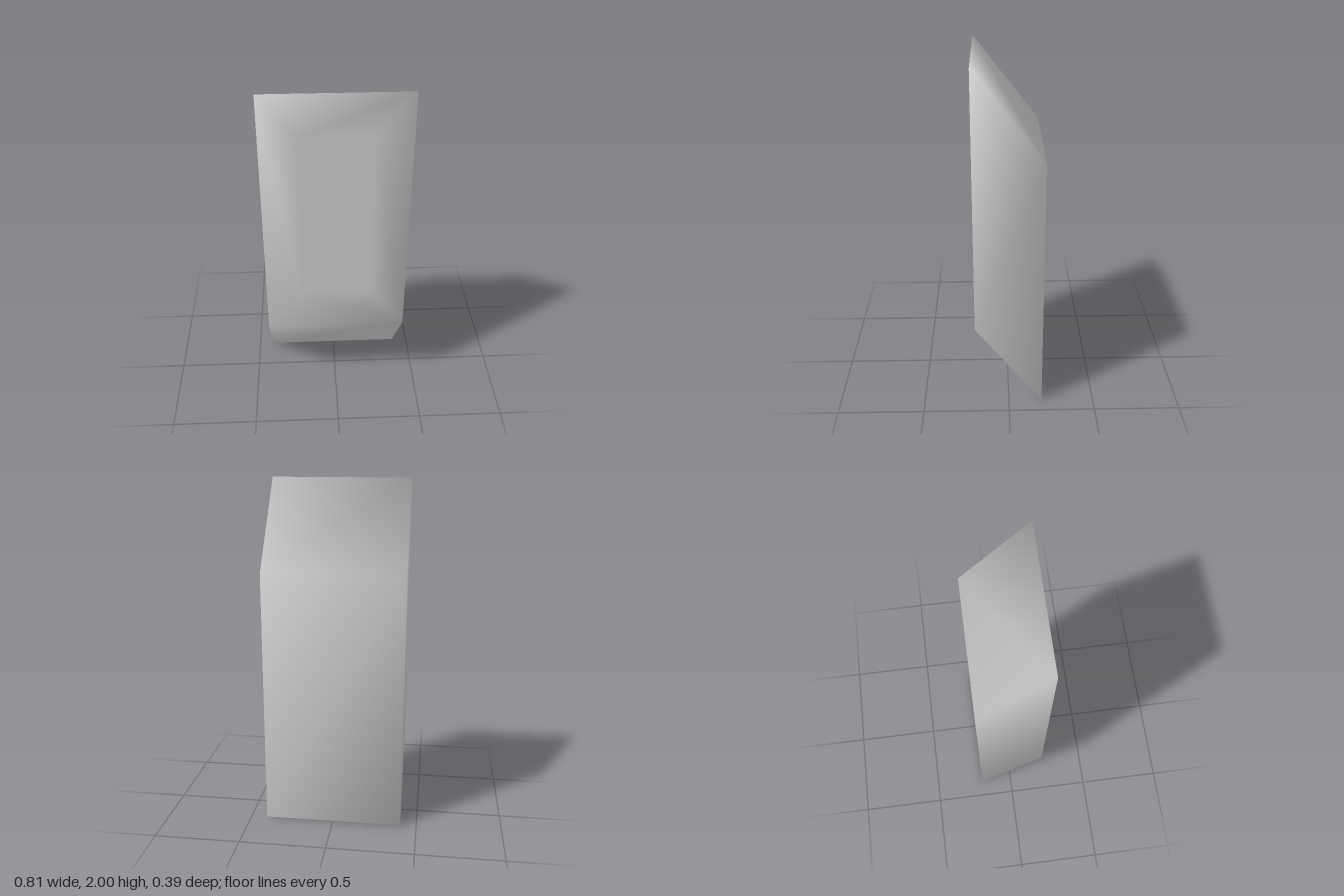
import * as THREE from 'three';

const HALF_W = 0.405, HALF_D = 0.195;

// Rectangle of four corners in a z plane, counter-clockwise from lower left
const rectangle = (halfWidth, bottom, top, z) => [
  [-halfWidth, bottom, z], [halfWidth, bottom, z],
  [halfWidth, top, z], [-halfWidth, top, z],
];

export function createModel() {
  const group = new THREE.Group();
  group.name = 'slantedBlock';

  const points = [
    ...rectangle(HALF_W, 0.5, 2, HALF_D),     // 0-3 front outline
    ...rectangle(HALF_W, 0, 1.5, -HALF_D),    // 4-7 back outline, shifted down
    ...rectangle(0.2, 0.75, 1.75, HALF_D),    // 8-11 flush front panel
  ];

  const quads = [
    [8, 9, 10, 11],                                           // front panel
    [1, 9, 8, 0], [1, 2, 10, 9], [2, 3, 11, 10], [3, 0, 8, 11], // front border
    [5, 4, 7, 6],                                             // back
    [3, 2, 6, 7], [4, 5, 1, 0],                               // sloping top, bottom
    [1, 5, 6, 2], [4, 0, 3, 7],                               // sides
  ];

  // Shared corners give smooth shading around the whole block
  const geometry = new THREE.BufferGeometry();
  geometry.setAttribute('position', new THREE.Float32BufferAttribute(points.flat(), 3));
  geometry.setIndex(quads.flatMap(([a, b, c, d]) => [a, b, c, a, c, d]));
  geometry.computeVertexNormals();

  const block = new THREE.Mesh(geometry, new THREE.MeshStandardMaterial({ color: 0xcccccc }));
  block.name = 'block';
  group.add(block);
  return group;
}
